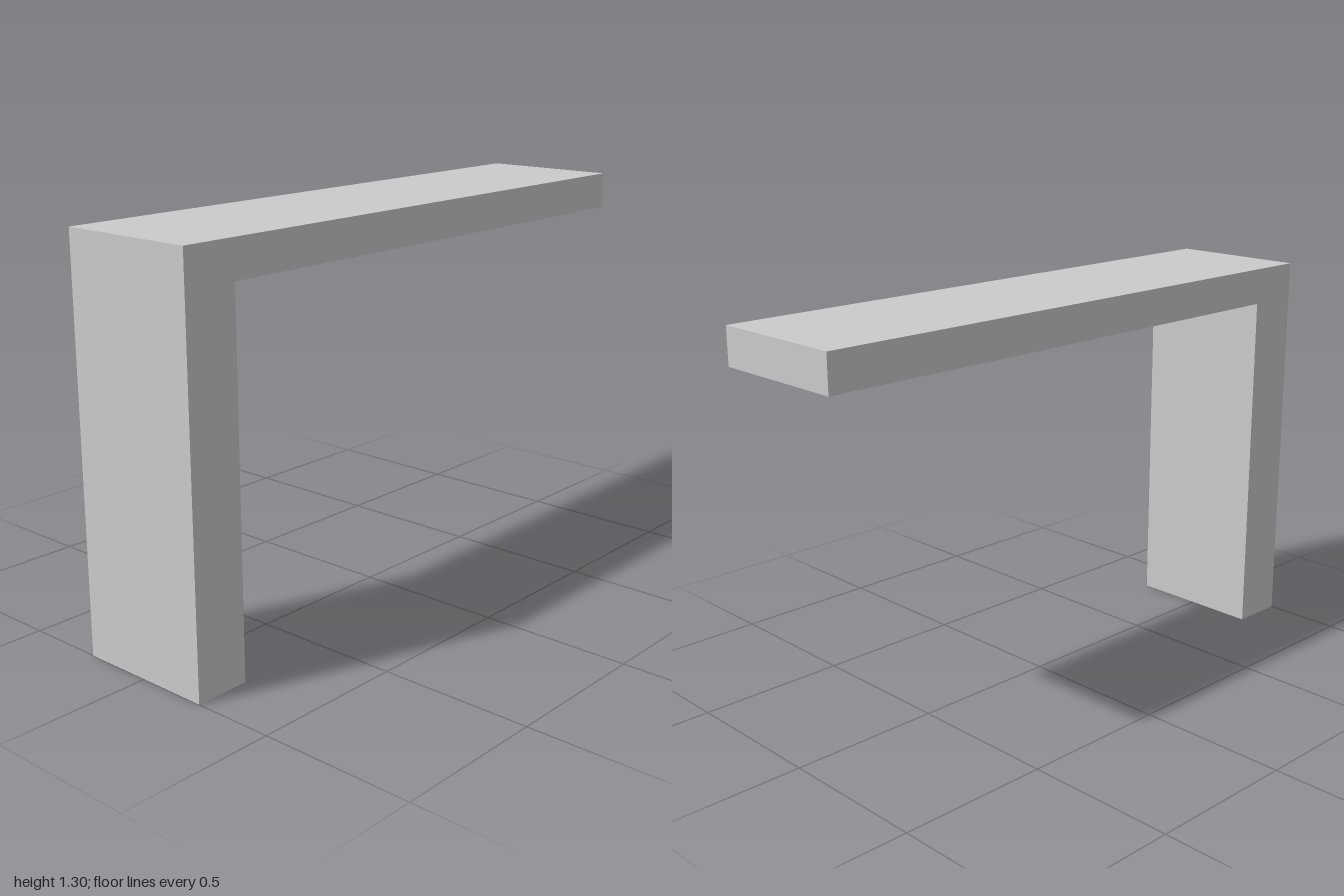
import * as THREE from 'three';

const HEIGHT = 1.3, DEPTH = 0.47;
const LEG_X = -0.82;    // inner face of the leg
const SHELF_Y = 1.18;   // underside of the shelf

export function createModel() {
  const group = new THREE.Group();
  group.name = 'cantileverShelf';
  const material = new THREE.MeshStandardMaterial({ color: 0xcccccc, flatShading: true });

  // Leg and shelf are one solid: an upside-down L extruded through the depth
  const profile = new THREE.Shape([
    [-1, 0], [LEG_X, 0], [LEG_X, SHELF_Y], [1, SHELF_Y], [1, HEIGHT], [-1, HEIGHT],
  ].map(([x, y]) => new THREE.Vector2(x, y)));
  const geometry = new THREE.ExtrudeGeometry(profile, { depth: DEPTH, bevelEnabled: false });
  geometry.translate(0, 0, -DEPTH / 2);

  const mesh = new THREE.Mesh(geometry, material);
  mesh.name = 'legAndShelf';
  group.add(mesh);
  return group;
}
